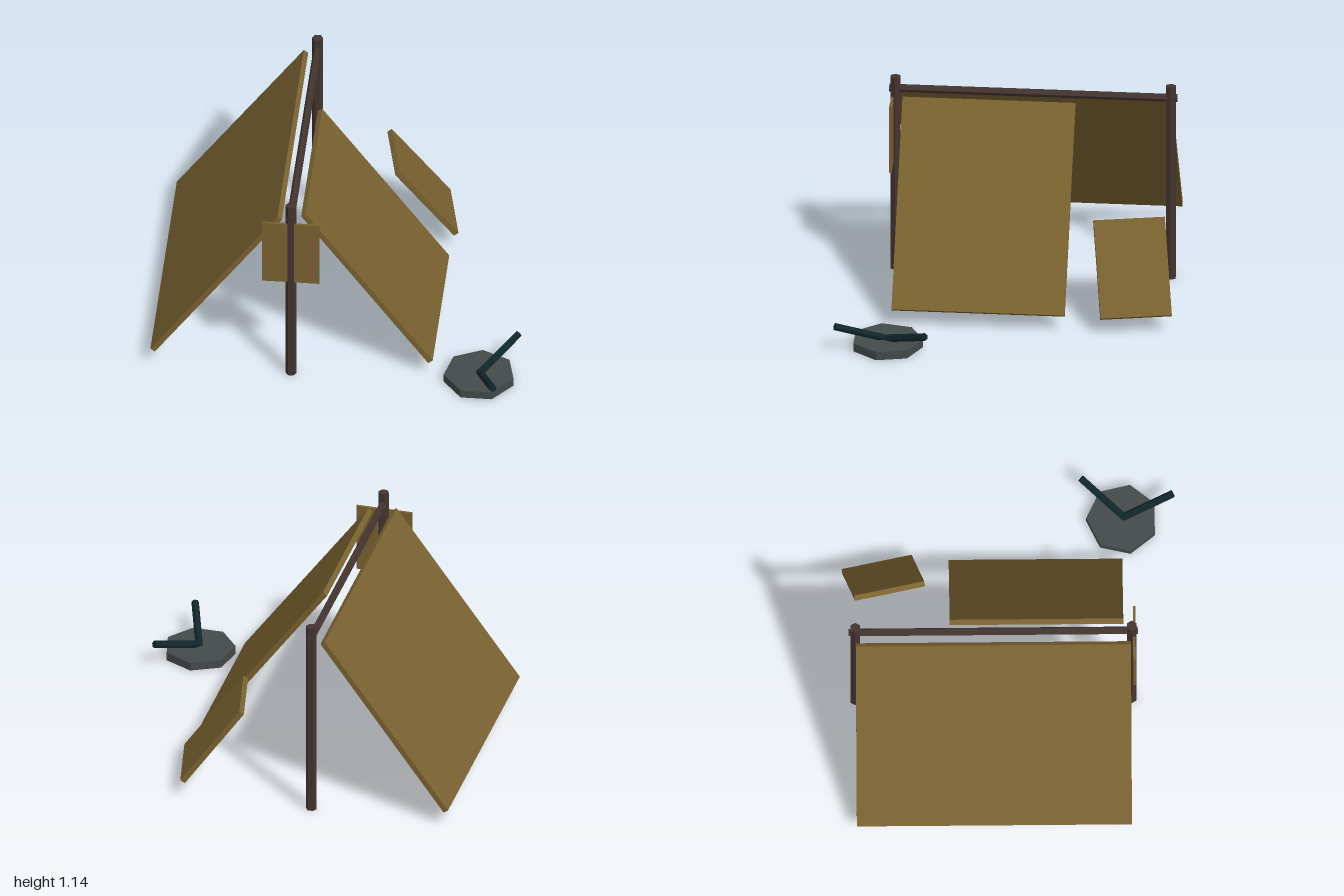
import * as THREE from 'three';

const material = (name, color) => {
  const m = new THREE.MeshStandardMaterial({ color, flatShading: true });
  m.name = name;
  return m;
};

export function createModel() {
  const model = new THREE.Group();
  model.name = 'leanToCamp';
  const canvas = material('ochre canvas', 0x7a6230);
  const wood = material('dark wood', 0x43342f);
  const stone = material('grey stone', 0x434a49);
  const charred = material('charred wood', 0x10262a);

  const RIDGE_X = -0.233;
  const SLOPE = THREE.MathUtils.degToRad(54);

  const add = (name, geometry, mat, x, y, z) => {
    const mesh = new THREE.Mesh(geometry, mat);
    mesh.name = name;
    mesh.position.set(x, y, z);
    model.add(mesh);
    return mesh;
  };

  // Six-sided pole with corners pointing sideways
  const pole = (radius, length) =>
    new THREE.CylinderGeometry(radius, radius, length, 6).rotateY(Math.PI / 6);

  // Posts and ridge pole
  add('frontPost', pole(0.03, 1.14), wood, RIDGE_X, 0.57, 0.66);
  add('backPost', pole(0.03, 1.14), wood, RIDGE_X, 0.57, -0.837);
  add('ridgePole', pole(0.0215, 1.565).rotateX(Math.PI / 2), wood, RIDGE_X, 1.07, -0.09);

  // Sloping roof panels; side is +1 for left, -1 for right
  const panel = (name, side, length, width, x, y, z, turn = 0) => {
    const geometry = new THREE.BoxGeometry(length, 0.03, width);
    geometry.rotateZ(-side * SLOPE).rotateY(turn);
    add(name, geometry, canvas, x, y, z);
  };
  panel('rightRoofPanel', -1, 1.176, 1.49, RIDGE_X - 0.408, 0.569, -0.09);
  panel('leftRoofPanel', 1, 1.176, 0.94, RIDGE_X + 0.408, 0.569, 0.145);
  panel('fallenPanel', 1, 0.545, 0.388, 0.355, 0.317, -0.68, 0.207);

  // Flat board on the front post
  add('frontBoard', new THREE.BoxGeometry(0.31, 0.393, 0.014), canvas, RIDGE_X, 0.829, 0.674);

  // Fire pit: seven-sided slab with two burnt sticks
  const slab = new THREE.CylinderGeometry(0.195, 0.195, 0.047, 7).rotateY(Math.PI);
  add('firePitStone', slab, stone, 0.787, 0.0235, 0.617);

  const stick = (name, from, to) => {
    const a = new THREE.Vector3(...from);
    const b = new THREE.Vector3(...to);
    const dir = b.clone().sub(a);
    const mid = a.add(b).multiplyScalar(0.5);
    const mesh = add(name, new THREE.CylinderGeometry(0.021, 0.021, dir.length(), 6), charred, mid.x, mid.y, mid.z);
    mesh.quaternion.setFromUnitVectors(new THREE.Vector3(0, 1, 0), dir.normalize());
  };
  stick('backStick', [0.787, 0.045, 0.632], [0.98, 0.15, 0.394]);
  stick('frontStick', [0.789, 0.045, 0.615], [0.887, 0.15, 0.892]);

  return model;
}
